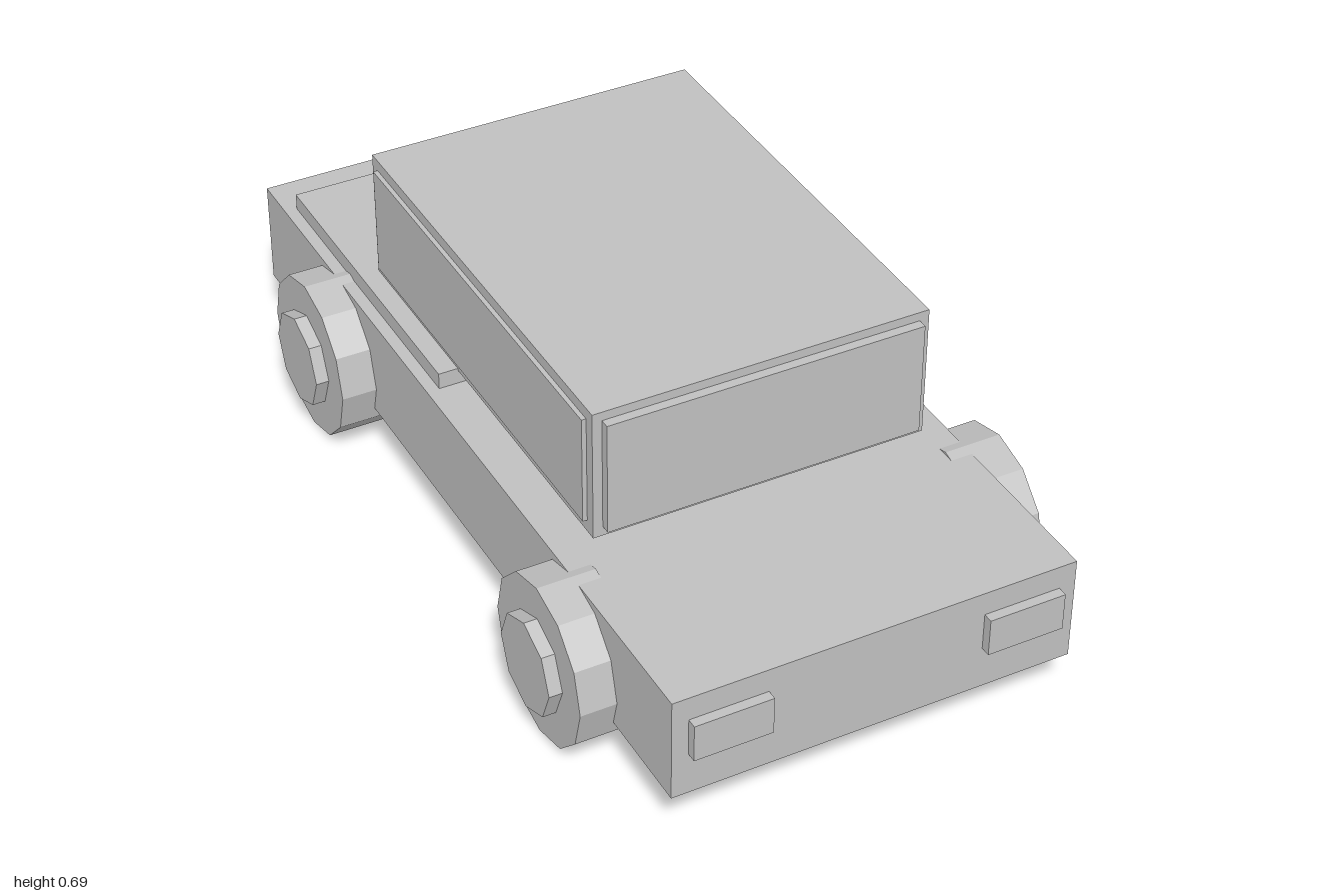
import * as THREE from 'three';

export function createModel() {
  const car = new THREE.Group();
  car.name = 'car';

  const paint = new THREE.MeshStandardMaterial({ color: 0xc0c0c0, flatShading: true });
  paint.name = 'plain grey';

  // Box given by its limits on each axis
  function box(name, [x0, x1], [y0, y1], [z0, z1]) {
    const mesh = new THREE.Mesh(new THREE.BoxGeometry(x1 - x0, y1 - y0, z1 - z0), paint);
    mesh.position.set((x0 + x1) / 2, (y0 + y1) / 2, (z0 + z1) / 2);
    mesh.name = name;
    car.add(mesh);
  }

  // Faceted disc lying along x
  function disc(name, radius, sides, x0, x1) {
    const geometry = new THREE.CylinderGeometry(radius, radius, x1 - x0, sides);
    geometry.rotateZ(Math.PI / 2);
    // turn so that a corner points straight up
    const mesh = new THREE.Mesh(geometry, paint);
    mesh.position.x = (x0 + x1) / 2;
    mesh.name = name;
    return mesh;
  }

  // Lower body, raised rear deck and cabin
  box('body', [-0.445, 0.445], [0.122, 0.36], [-0.969, 0.978]);
  box('rearDeck', [-0.417, 0.417], [0.36, 0.397], [-0.862, -0.103]);
  box('cabin', [-0.373, 0.373], [0.392, 0.692], [-0.507, 0.517]);

  // Windows
  box('windscreen', [-0.352, 0.352], [0.414, 0.672], [0.51, 0.538]);
  box('rearWindow', [-0.352, 0.352], [0.414, 0.672], [-0.528, -0.5]);

  // Tail panel
  box('tailPanel', [-0.41, 0.41], [0.145, 0.296], [-1, -0.965]);

  for (const side of [-1, 1]) {
    const label = side > 0 ? 'left' : 'right';
    const span = (a, b) => (side > 0 ? [a, b] : [-b, -a]);

    box(label + 'SideWindow', span(0.365, 0.383), [0.42, 0.667], [-0.482, 0.492]);
    box(label + 'Headlight', span(0.238, 0.409), [0.22, 0.306], [0.97, 1]);
    box(label + 'TailLight', span(0.238, 0.409), [0.22, 0.306], [-0.99, -0.96]);

    // Wheels: twelve-sided tyre with eight-sided hub
    for (const [end, z] of [['Front', 0.573], ['Rear', -0.564]]) {
      const wheel = new THREE.Group();
      wheel.name = label + end + 'Wheel';
      wheel.add(disc('tyre', 0.183, 12, ...span(0.396, 0.524)));
      wheel.add(disc('hub', 0.107, 8, ...span(0.5, 0.553)));
      wheel.position.set(0, 0.183, z);
      car.add(wheel);
    }
  }
  return car;
}
